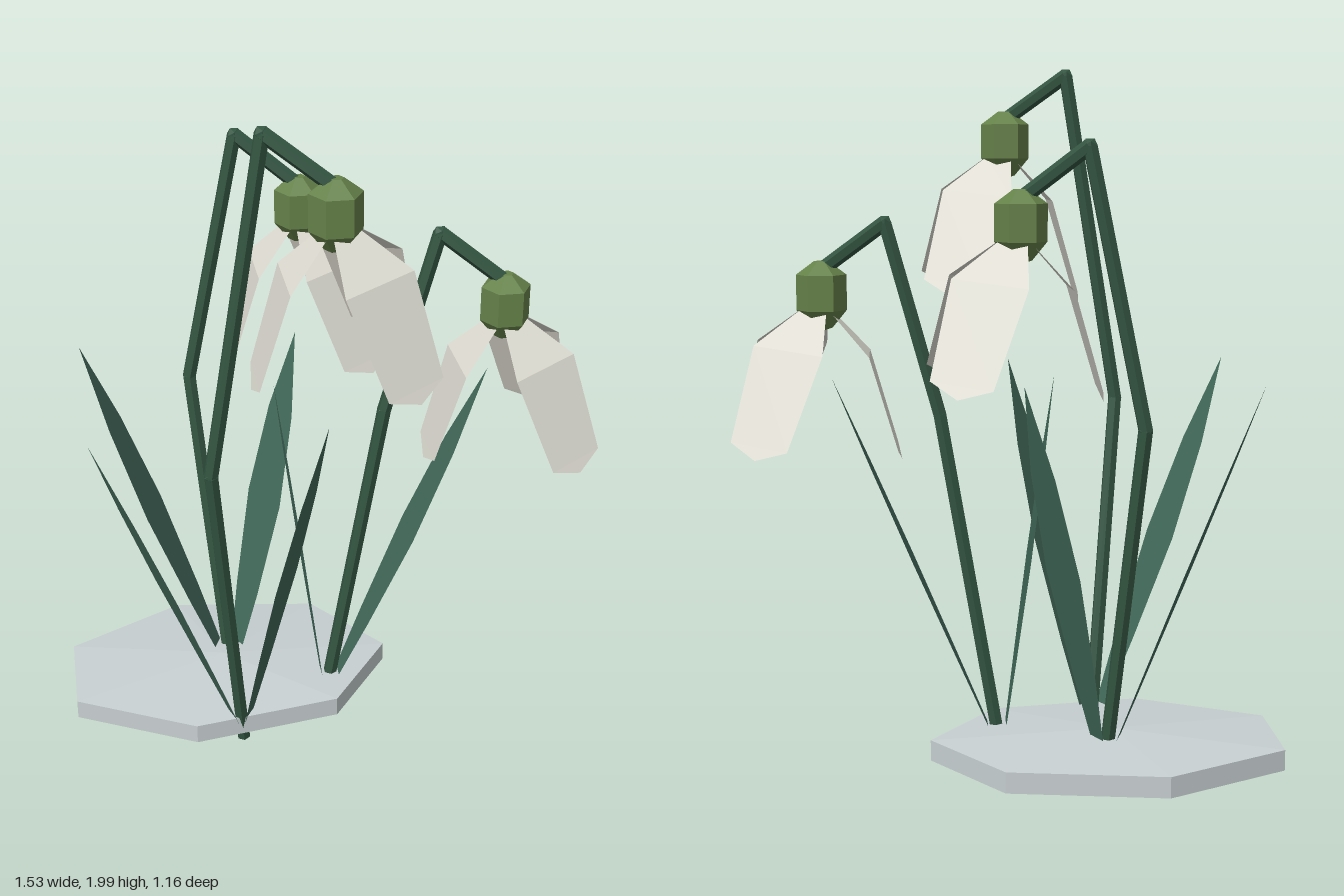
import * as THREE from 'three';

const mat = (color) => new THREE.MeshStandardMaterial({ color, flatShading: true, side: THREE.DoubleSide });
const V = (x, y, z) => new THREE.Vector3(x, y, z);

export function createModel() {
  const model = new THREE.Group();
  const stone = mat(0xc8d0d2), stemGreen = mat(0x335541), leafGreen = mat(0x42695a);
  const bulbGreen = mat(0x66824a), white = mat(0xdedcd2);

  const add = (parent, name, geometry, material) => {
    const mesh = new THREE.Mesh(geometry, material);
    mesh.name = name;
    parent.add(mesh);
    return mesh;
  };

  // Faceted solid of revolution with one corner on the +x axis
  const turned = (profile, sides) => new THREE.LatheGeometry(
    profile.map(([r, y]) => new THREE.Vector2(r, y)), sides, Math.PI / 2);

  // Flat blade: rows of [centre, half width], spread along a width direction
  const blade = (rows, across) => {
    const pos = [], index = [];
    rows.forEach(([c, w], i) => {
      for (const s of [-1, 1]) pos.push(...c.clone().addScaledVector(across, s * w).toArray());
      const a = i * 2;
      if (i < rows.length - 1) index.push(a, a + 1, a + 2, a + 1, a + 3, a + 2);
    });
    const g = new THREE.BufferGeometry();
    g.setAttribute('position', new THREE.Float32BufferAttribute(pos, 3));
    g.setIndex(index);
    g.computeVertexNormals();
    return g;
  };

  // Straight stem section between two points
  const rod = (a, b, r) => {
    const d = b.clone().sub(a);
    const g = new THREE.CylinderGeometry(r, r, d.length(), 6);
    g.applyQuaternion(new THREE.Quaternion().setFromUnitVectors(V(0, 1, 0), d.normalize()));
    const m = a.clone().add(b).multiplyScalar(0.5);
    return g.translate(m.x, m.y, m.z);
  };

  // Seven-sided ground slab, slightly domed above and below
  const ground = add(model, 'ground slab', turned([[0, 0.008], [1, 0.04], [1, 0.1], [0, 0.125]], 7), stone);
  ground.scale.set(0.52, 1, 0.338);
  ground.position.set(-0.3, 0, -0.18);

  const petalRows = [[0.03, -0.05, 0.04], [0.15, -0.16, 0.113], [0.255, -0.42, 0.092], [0.27, -0.455, 0]];
  const makeFlower = (centre) => {
    const flower = new THREE.Group();
    flower.name = 'flower';
    flower.position.copy(centre);
    add(flower, 'bulb', turned(
      [[0, -0.11], [0.03, -0.1], [0.071, -0.05], [0.071, 0.05], [0.02, 0.088], [0, 0.088]], 6), bulbGreen);
    // Three drooping petals, leaning a little forward as a set
    const petals = new THREE.Group();
    petals.name = 'petals';
    petals.rotation.z = 0.1;
    for (const deg of [60, 180, 300]) {
      const petal = add(petals, 'petal',
        blade(petalRows.map(([r, y, w]) => [V(r, y, 0), w]), V(0, 0, 1)), white);
      petal.rotation.y = THREE.MathUtils.degToRad(deg);
    }
    flower.add(petals);
    return flower;
  };

  // Leaf: widest just past halfway, pointed at the tip
  const leafRows = [[0, 0.015], [0.26, 0.052], [0.53, 0.077], [0.78, 0.055], [1, 0]];
  const makeLeaf = (base, tip) => {
    const across = V(base.z - tip.z, 0, tip.x - base.x).normalize();
    return blade(leafRows.map(([t, w]) => [base.clone().lerp(tip, t), w]), across);
  };

  // Each plant: stem path, flower centre and two leaf tips
  const plants = [
    { path: [V(-0.27, 0.01, 0.1), V(-0.355, 1.02, 0.25), V(-0.2, 1.975, 0.25)],
      flower: V(-0.025, 1.785, 0.313), tips: [V(-0.68, 1.14, 0.25), V(-0.03, 1.14, 0.25)] },
    { path: [V(-0.27, 0.01, -0.23), V(-0.355, 1.02, -0.375), V(-0.2, 1.77, -0.375)],
      flower: V(-0.025, 1.57, -0.313), tips: [V(-0.68, 1.14, -0.375), V(-0.03, 1.14, -0.375)] },
    { path: [V(0.01, 0.01, -0.06), V(0.185, 1.02, -0.06), V(0.335, 1.56, -0.06)],
      flower: V(0.515, 1.363, 0), tips: [V(-0.14, 1.13, -0.06), V(0.49, 1.13, -0.06)] },
  ];
  for (const { path, flower, tips } of plants) {
    const plant = new THREE.Group();
    plant.name = 'plant';
    const points = [...path, flower.clone().add(V(-0.01, 0.07, 0))];
    for (let i = 0; i < 3; i++) add(plant, 'stem section', rod(points[i], points[i + 1], 0.021), stemGreen);
    for (const p of path.slice(1)) {
      add(plant, 'stem joint', new THREE.IcosahedronGeometry(0.022, 0), stemGreen).position.copy(p);
    }
    for (const tip of tips) add(plant, 'leaf', makeLeaf(path[0], tip), leafGreen);
    plant.add(makeFlower(flower));
    model.add(plant);
  }
  return model;
}
